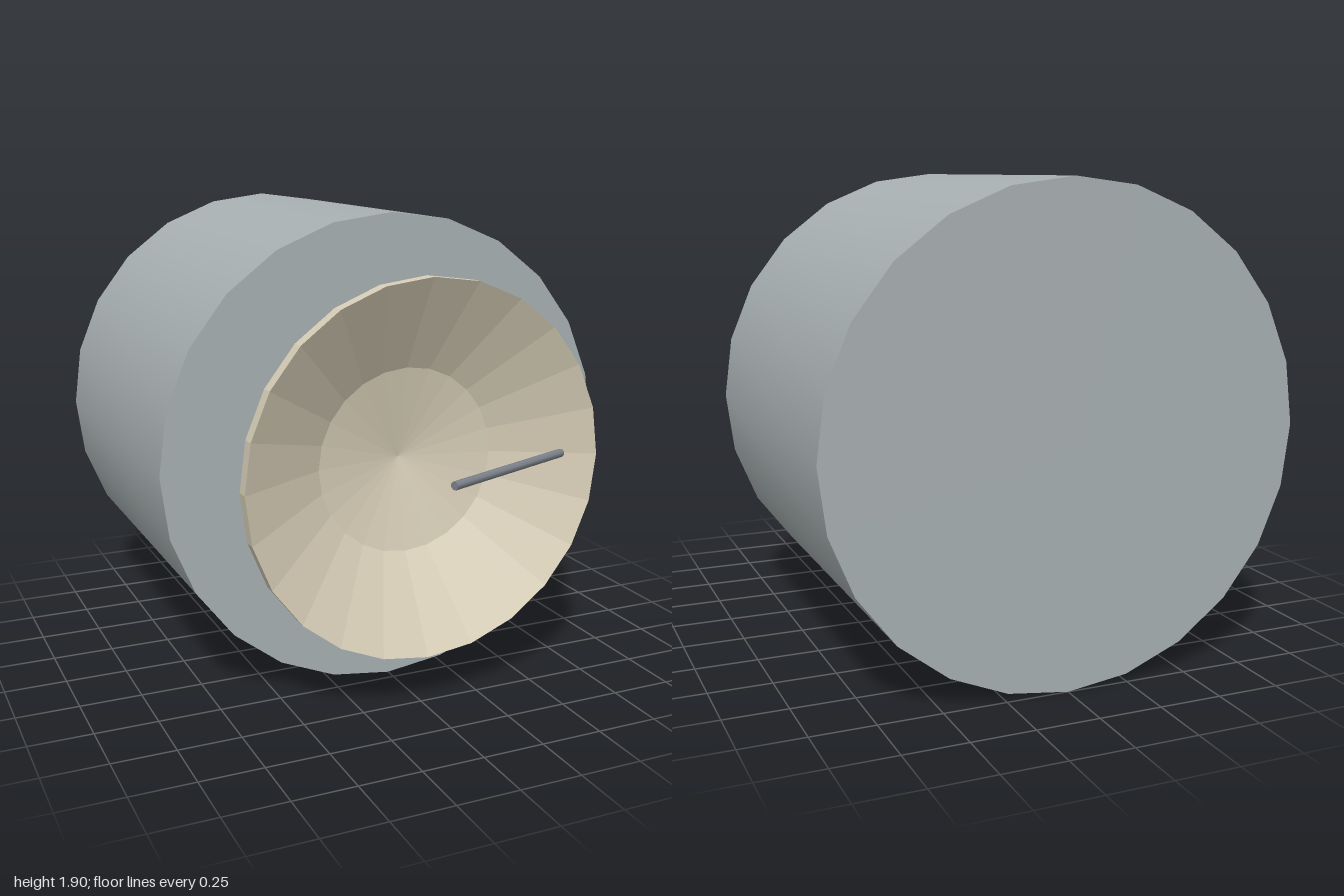
import * as THREE from 'three';

const AXIS_Y = 0.95;
const SIDES = 24;

export function createModel() {
  const model = new THREE.Group();
  const bodyGrey = new THREE.MeshStandardMaterial({ color: 0xa8b0b2 });
  bodyGrey.name = 'body grey';
  const dishCream = new THREE.MeshStandardMaterial({ color: 0xd6cdb6, flatShading: true });
  dishCream.name = 'dish cream';
  const rodGrey = new THREE.MeshStandardMaterial({ color: 0x7c828a });
  rodGrey.name = 'rod grey';

  const add = (name, geometry, material) => {
    const mesh = new THREE.Mesh(geometry, material);
    mesh.name = name;
    model.add(mesh);
    return mesh;
  };

  // Drum lying along z
  const drum = new THREE.CylinderGeometry(0.95, 0.95, 1.45, SIDES);
  drum.rotateX(Math.PI / 2);
  add('drum', drum, bodyGrey).position.set(0, AXIS_Y, -0.275);

  // Dish: conical back, upright rim band, two-step hollow (radius, z)
  const profile = [[0, 0.42], [0.74, 0.75], [0.74, 0.805], [0.37, 0.595], [0, 0.52]];
  const dish = new THREE.LatheGeometry(profile.map(([r, z]) => new THREE.Vector2(r, z)), SIDES);
  dish.rotateX(Math.PI / 2);
  add('dish', dish, dishCream).position.y = AXIS_Y;

  // Slanted feed rod from the dish wall to the focus
  const tip = new THREE.Vector3(0.002, AXIS_Y, 0.983);
  const foot = new THREE.Vector3(0.62, AXIS_Y, 0.735);
  const rod = add('feedRod', new THREE.CylinderGeometry(0.017, 0.017, tip.distanceTo(foot), 8), rodGrey);
  rod.position.copy(tip).lerp(foot, 0.5);
  rod.quaternion.setFromUnitVectors(new THREE.Vector3(0, 1, 0), tip.clone().sub(foot).normalize());

  return model;
}
